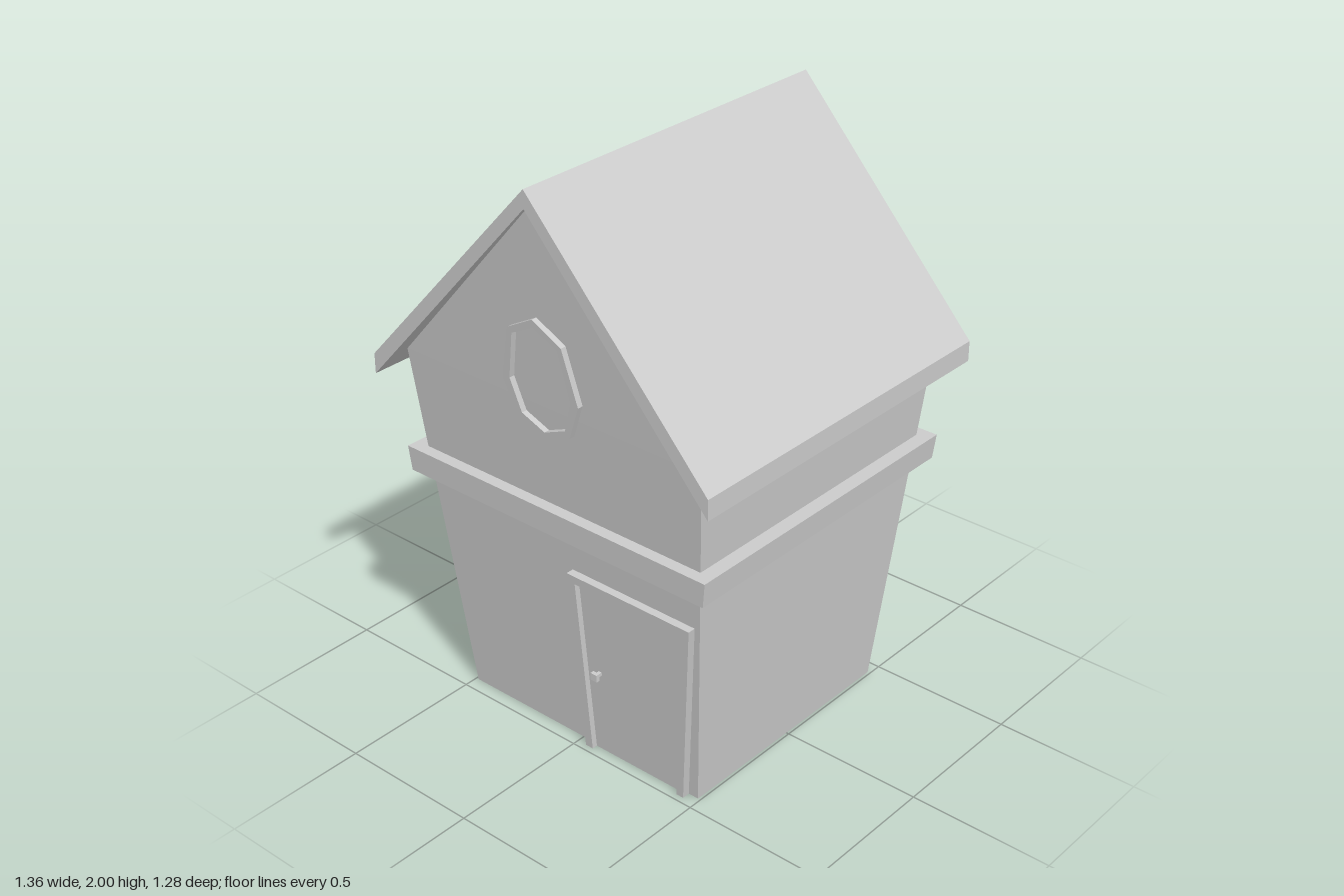
import * as THREE from 'three';

const mat = new THREE.MeshStandardMaterial({ color: 0xcccccc, flatShading: true });
const shellMat = new THREE.MeshStandardMaterial({ color: 0xcccccc, flatShading: true, side: THREE.DoubleSide });

// depth of the leaning front wall at height y
const wallZ = (y) => 0.45 + 0.0977 * y;

function mesh(name, geometry, material = mat) {
  const m = new THREE.Mesh(geometry, material);
  m.name = name;
  return m;
}

// rectangular ring of corners, counter-clockwise from above
const ring = (x, y, z) => [[x, y, z], [x, y, -z], [-x, y, -z], [-x, y, z]];

// joins successive rings with quads, then adds loose triangles
function loft(rings, extra = []) {
  const pos = [];
  for (let r = 0; r < rings.length - 1; r++) {
    const a = rings[r], b = rings[r + 1];
    for (let i = 0; i < 4; i++) {
      const j = (i + 1) % 4;
      pos.push(...a[i], ...a[j], ...b[j], ...a[i], ...b[j], ...b[i]);
    }
  }
  extra.forEach((p) => pos.push(...p));
  const g = new THREE.BufferGeometry();
  g.setAttribute('position', new THREE.Float32BufferAttribute(pos, 3));
  g.computeVertexNormals();
  return g;
}

const toShape = (pts) => new THREE.Shape(pts.map(([x, y]) => new THREE.Vector2(x, y)));

// extrudes an outline and leans it against the front wall
function onWall(outline, depth, hole) {
  const shape = toShape(outline);
  if (hole) shape.holes.push(toShape(hole));
  const g = new THREE.ExtrudeGeometry(shape, { depth, bevelEnabled: false });
  const p = g.attributes.position;
  for (let i = 0; i < p.count; i++) p.setZ(i, p.getZ(i) + wallZ(p.getY(i)));
  g.computeVertexNormals();
  return g;
}

export function createModel() {
  const house = new THREE.Group();
  house.name = 'house';

  // flared walls, open below, with a gable at each end
  const eave = ring(0.6, 1.28, 0.575);
  const apex = (s) => [0, 1.945, 0.625 * s];
  house.add(mesh('walls', loft([ring(0.49, 0, 0.45), eave], [
    eave[3], eave[0], apex(1),
    eave[1], eave[2], apex(-1),
  ]), shellMat));

  // trim band around the middle
  house.add(mesh('trimBand', loft([
    ring(0.61, 0.838, 0.578), ring(0.62, 0.925, 0.582),
    ring(0.57, 0.925, 0.541), ring(0.563, 0.838, 0.533), ring(0.61, 0.838, 0.578),
  ])));

  // folded roof slab
  const roof = new THREE.ExtrudeGeometry(toShape([
    [0, 2], [-0.68, 1.26], [-0.68, 1.19], [0, 1.94], [0.68, 1.19], [0.68, 1.26],
  ]), { depth: 1.284, bevelEnabled: false });
  roof.translate(0, 0, -0.642);
  house.add(mesh('roof', roof));

  // door with a skewed frame
  house.add(mesh('doorFrame', onWall([
    [0.035, 0], [0.065, 0], [0.065, 0.67], [0.5, 0.67],
    [0.425, 0], [0.452, 0], [0.53, 0.7], [0.035, 0.7],
  ], 0.028)));
  house.add(mesh('doorPanel', onWall([[0.06, 0], [0.43, 0], [0.505, 0.675], [0.06, 0.675]], 0.008)));

  // door knob on a short stem
  const knob = new THREE.Group();
  knob.name = 'doorKnob';
  const stem = mesh('knobStem', new THREE.BoxGeometry(0.012, 0.012, 0.03));
  const grip = mesh('knobGrip', new THREE.BoxGeometry(0.026, 0.026, 0.014));
  grip.position.z = 0.018;
  knob.add(stem, grip);
  knob.position.set(0.117, 0.33, wallZ(0.33) + 0.015);
  house.add(knob);

  // eight-sided gable window frame
  const mirrored = (half) => [...half, ...half.slice(1, -1).reverse().map(([x, y]) => [-x, y])];
  house.add(mesh('windowFrame', onWall(
    mirrored([[0, 1.175], [0.105, 1.22], [0.153, 1.343], [0.108, 1.53], [0, 1.59]]), 0.02,
    mirrored([[0, 1.202], [0.088, 1.24], [0.124, 1.35], [0.092, 1.515], [0, 1.563]]),
  )));

  return house;
}
